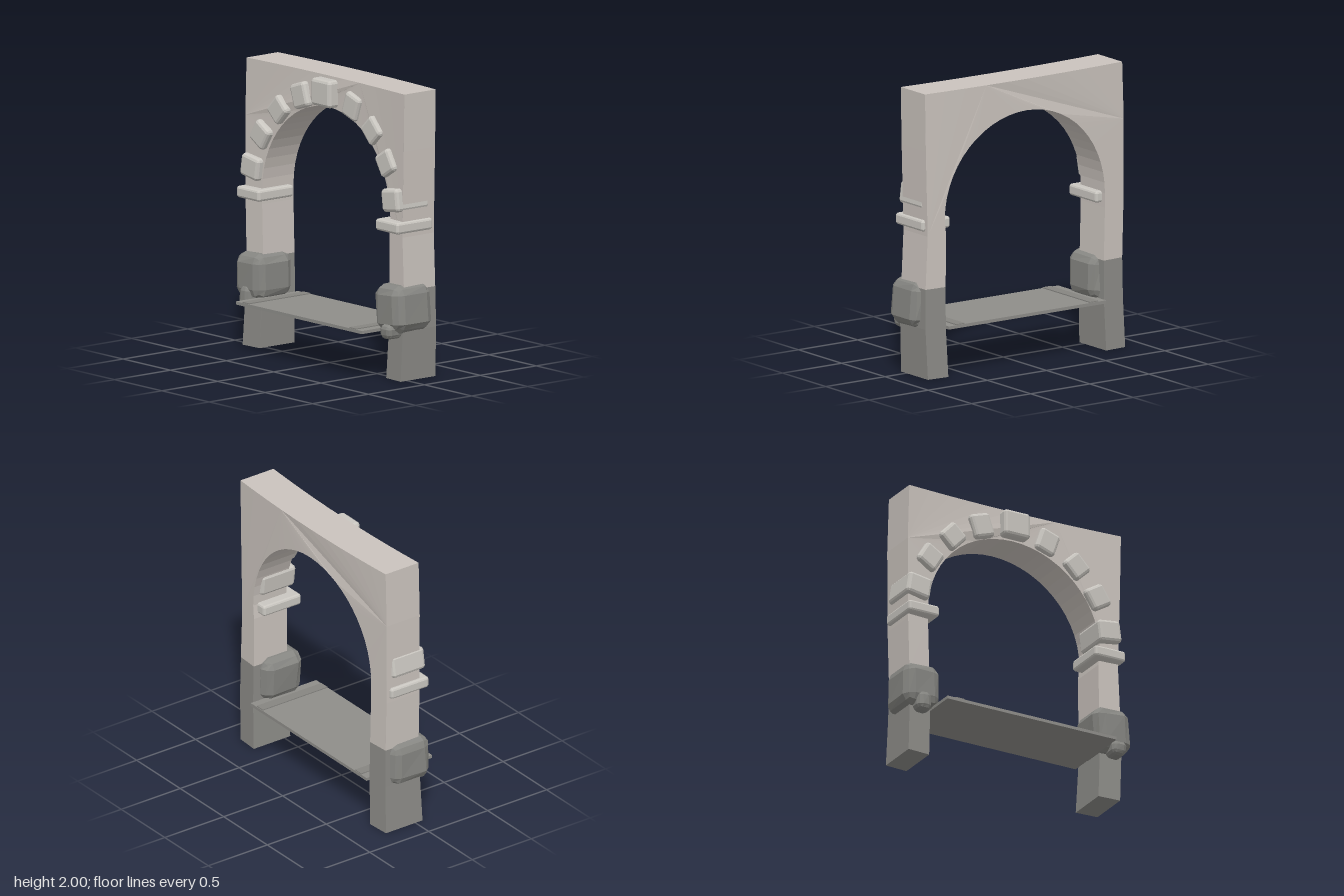
import * as THREE from 'three';

const mat = (name, color) => {
  const m = new THREE.MeshStandardMaterial({ color, flatShading: true });
  m.name = name;
  return m;
};

export function createModel() {
  const group = new THREE.Group();
  const wallMat = mat('pale plaster', 0xcac3bd);
  const stoneMat = mat('trim stone', 0xc9c6c0);
  const baseMat = mat('dark footing', 0x8c8b87);
  const rockMat = mat('boulder grey', 0x868682);
  const slabMat = mat('slab grey', 0x8e8d89);
  const stripMat = mat('threshold grey', 0x868581);

  const add = (name, geo, material, x = 0, y = 0, z = 0, rz = 0) => {
    const m = new THREE.Mesh(geo, material);
    m.name = name;
    m.position.set(x, y, z);
    m.rotation.z = rz;
    group.add(m);
    return m;
  };

  // Extrude an outline through the wall depth, bowed back in the middle
  const wallPiece = (points) => {
    const shape = new THREE.Shape(points.map(([x, y]) => new THREE.Vector2(x, y)));
    const geo = new THREE.ExtrudeGeometry(shape, { depth: 1, bevelEnabled: false });
    const p = geo.attributes.position;
    for (let i = 0; i < p.count; i++) {
      const x = p.getX(i), y = p.getY(i), front = p.getZ(i) > 0.5;
      const bow = -0.03 * Math.max(0, 1 - (x / 0.83) ** 2);
      const flare = y < 0.6 ? 0.02 * (1 - y / 0.6) : 0;
      p.setZ(i, front ? 0.04 + bow + flare : -0.24 + bow - flare * 0.5);
    }
    geo.computeVertexNormals();
    return geo;
  };

  // Box with cut edges and corners; wobble makes it irregular, taper narrows the top
  const chunk = (w, h, d, bevel, wobble = 0, taper = 0, seed = 1) => {
    const geo = new THREE.BoxGeometry(w, h, d, 3, 3, 3);
    const p = geo.attributes.position;
    const half = [w / 2, h / 2, d / 2];
    for (let i = 0; i < p.count; i++) {
      const v = [p.getX(i), p.getY(i), p.getZ(i)];
      const outer = v.map((c, k) => Math.abs(c) > half[k] * 0.9);
      const count = outer.filter(Boolean).length;
      const cut = [0, 0, 0.35, 0.55][count] * bevel;
      const q = v.map((c, k) => Math.sign(c) * (half[k] - (outer[k] ? cut : bevel)));
      const n = Math.sin(q[0] * 31 + q[1] * 47 + q[2] * 23 + seed) * wobble;
      const s = 1 + n - taper * (q[1] / h);
      p.setXYZ(i, q[0] * s, q[1] * (1 + n * 0.6), q[2] * s);
    }
    geo.computeVertexNormals();
    return geo;
  };

  // Arched wall above the footings
  const outline = [[-0.83, 0.63], [-0.667, 0.63], [-0.677, 1.0]];
  for (let i = 0; i <= 28; i++) {
    const a = Math.PI * (1 - i / 28);
    outline.push([0.677 * Math.cos(a), 1.1 + 0.68 * Math.sin(a)]);
  }
  outline.push([0.667, 1.0], [0.67, 0.63], [0.832, 0.63], [0.815, 1.0], [0.83, 1.6]);
  for (let i = 0; i <= 10; i++) outline.push([0.837 - 0.1667 * i, 2]);
  outline.push([-0.843, 1.6], [-0.84, 1.0]);
  add('archWall', wallPiece(outline), wallMat);

  // Darker footings of both pillars
  add('rightFooting', wallPiece([[-0.848, 0], [-0.68, 0], [-0.665, 0.35], [-0.667, 0.63], [-0.83, 0.63], [-0.833, 0.35]]), baseMat);
  add('leftFooting', wallPiece([[0.655, 0], [0.82, 0], [0.836, 0.35], [0.832, 0.63], [0.67, 0.63], [0.672, 0.35]]), baseMat);

  // Stones set around the arch: x, y, width, height, tilt, front z
  const stones = [
    [-0.765, 1.25, 0.185, 0.16, -0.16, 0.08],
    [-0.67, 1.49, 0.16, 0.165, -0.55, 0.075],
    [-0.49, 1.69, 0.155, 0.165, -0.76, 0.07],
    [-0.26, 1.825, 0.16, 0.175, 0.32, 0.065],
    [0, 1.885, 0.205, 0.19, 0, 0.09],
    [0.265, 1.828, 0.155, 0.175, -0.33, 0.05],
    [0.49, 1.695, 0.155, 0.165, 0.76, 0.06],
    [0.65, 1.495, 0.16, 0.165, 0.55, 0.07],
    [0.73, 1.25, 0.175, 0.16, 0.13, 0.09],
  ];
  for (const [x, y, w, h, tilt, front] of stones) {
    const d = front + 0.2;
    add(x === 0 ? 'keystone' : 'archStone', chunk(w, h, d, 0.022), stoneMat, x, y, front - d / 2, tilt);
  }

  // Capital bands round the pillars
  add('rightCapital', chunk(0.24, 0.08, 0.32, 0.016), stoneMat, -0.747, 1.07, -0.055);
  add('leftCapital', chunk(0.24, 0.08, 0.32, 0.016), stoneMat, 0.72, 1.07, -0.055);

  // Boulders wrapped round the pillar feet, with small rocks in front
  add('rightBoulder', chunk(0.28, 0.31, 0.33, 0.065, 0.03, 0.06, 2), rockMat, -0.75, 0.5, -0.045, 0.02);
  add('leftBoulder', chunk(0.28, 0.33, 0.33, 0.065, 0.03, -0.03, 5), rockMat, 0.742, 0.5, -0.03, 0.06);
  add('rightSmallRock', chunk(0.11, 0.14, 0.12, 0.035, 0.03, 0.1, 3), rockMat, -0.755, 0.365, 0.08);
  add('leftSmallRock', chunk(0.11, 0.1, 0.14, 0.03, 0.03, -0.1, 4), rockMat, 0.765, 0.35, 0.095);

  // Floor slab with a raised strip near each end
  add('floorSlab', new THREE.BoxGeometry(1.33, 0.022, 0.555), slabMat, 0, 0.347, -0.0025);
  for (const side of [-1, 1])
    add('thresholdStrip', new THREE.BoxGeometry(0.07, 0.007, 0.548), stripMat, side * 0.565, 0.3613, -0.0025);

  return group;
}
